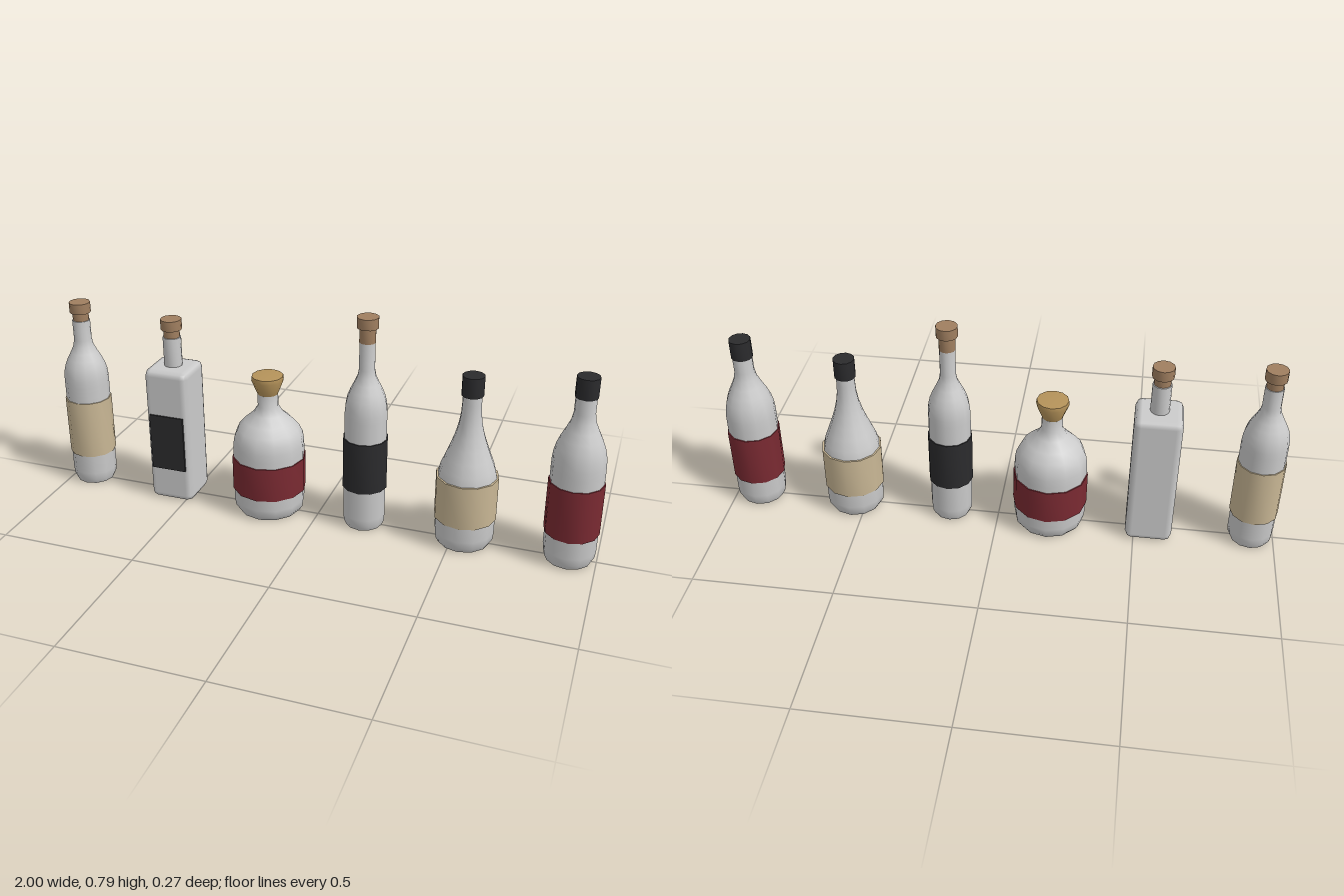
import * as THREE from 'three';
import { toCreasedNormals } from 'three/addons/utils/BufferGeometryUtils.js';
import { RoundedBoxGeometry } from 'three/addons/geometries/RoundedBoxGeometry.js';

const SIDES = 12;
const material = (color) => new THREE.MeshStandardMaterial({ color });
const glass = material(0xcccccc);
const corkBrown = material(0xa07f60);
const gold = material(0xb5935a);
const black = material(0x2b2b2d);
const red = material(0x7a2a32);
const cream = material(0xc9b795);
const liquid = material(0x4a2a10);

function addMesh(group, name, geometry, mat) {
  const mesh = new THREE.Mesh(geometry, mat);
  mesh.name = name;
  group.add(mesh);
  return mesh;
}

// Turned part from [radius, height] pairs, listed from bottom to top
function turned(group, name, profile, mat) {
  const points = profile.map(([r, y]) => new THREE.Vector2(r, y));
  const geometry = toCreasedNormals(new THREE.LatheGeometry(points, SIDES), 0.8);
  addMesh(group, name, geometry, mat);
}

// Straight closed cylinder between two heights
function drum(group, name, r, y0, y1, mat) {
  turned(group, name, [[0, y0], [r, y0], [r, y1], [0, y1]], mat);
}

// Closures, placed by the height of their top
function cork(group, top) {
  drum(group, 'corkStem', 0.029, top - 0.09, top - 0.036, corkBrown);
  drum(group, 'corkGrip', 0.038, top - 0.038, top, corkBrown);
}

function cap(group, top) {
  drum(group, 'cap', 0.038, top - 0.071, top, black);
}

function flaredStopper(group, top) {
  turned(group, 'flaredStopper', [
    [0, top - 0.08], [0.036, top - 0.075], [0.058, top - 0.02], [0.056, top - 0.005], [0, top],
  ], gold);
}

// Bevelled base, straight body, eased shoulder and straight neck.
// A higher curve keeps the shoulder full for longer before it narrows.
function glassProfile({ radius, neck, shoulder, neckBase, neckTop, curve = 1.5 }) {
  const profile = [[0, 0], [radius * 0.87, 0], [radius * 0.97, 0.018], [radius, 0.045]];
  const steps = 7;
  for (let i = 0; i <= steps; i++) {
    const t = i / steps;
    const ease = (1 + Math.cos(Math.PI * t ** curve)) / 2;
    profile.push([neck + (radius - neck) * ease, shoulder + (neckBase - shoulder) * t]);
  }
  profile.push([neck, neckTop], [0, neckTop]);
  return profile;
}

function roundBottle(spec) {
  const group = new THREE.Group();
  group.name = spec.name;
  group.position.x = spec.x;
  turned(group, 'glassBody', glassProfile(spec), glass);
  const [y0, y1] = spec.label;
  drum(group, 'wrappedLabel', spec.radius + 0.004, y0, y1, spec.color);
  spec.closure(group, spec.top);
  // Dark liquid seen through the underside
  if (spec.filled) {
    const floor = addMesh(group, 'liquidBase', new THREE.CircleGeometry(spec.radius * 0.84, SIDES), liquid);
    floor.rotation.x = Math.PI / 2;
    floor.position.y = -0.001;
  }
  return group;
}

// Square bottle with a flat label on the front face
function squareBottle() {
  const group = new THREE.Group();
  group.name = 'squareBottle';
  group.position.x = -0.552;
  addMesh(group, 'glassBody', new RoundedBoxGeometry(0.166, 0.517, 0.166, 1, 0.024), glass)
    .position.y = 0.2585;
  drum(group, 'neck', 0.033, 0.5, 0.625, glass);
  addMesh(group, 'flatLabel', new THREE.BoxGeometry(0.13, 0.214, 0.01), black)
    .position.set(0, 0.238, 0.084);
  cork(group, 0.692);
  return group;
}

const bottles = [
  {
    name: 'creamLabelBottle', x: -0.917, radius: 0.081, neck: 0.032, shoulder: 0.4, neckBase: 0.57,
    neckTop: 0.645, label: [0.12, 0.34], color: cream, closure: cork, top: 0.713, filled: true,
  },
  {
    name: 'roundDecanter', x: -0.188, radius: 0.13, neck: 0.037, shoulder: 0.21, neckBase: 0.41,
    neckTop: 0.457, curve: 2.2, label: [0.088, 0.216], color: red, closure: flaredStopper, top: 0.53,
  },
  {
    name: 'slimBottle', x: 0.175, radius: 0.076, neck: 0.028, shoulder: 0.42, neckBase: 0.6,
    neckTop: 0.72, label: [0.155, 0.345], color: black, closure: cork, top: 0.788, filled: true,
  },
  {
    name: 'slopingBottle', x: 0.54, radius: 0.105, neck: 0.033, shoulder: 0.25, neckBase: 0.53,
    neckTop: 0.58, curve: 0.73, label: [0.1, 0.26], color: cream, closure: cap, top: 0.628, filled: true,
  },
  {
    name: 'redLabelBottle', x: 0.905, radius: 0.09, neck: 0.035, shoulder: 0.34, neckBase: 0.55,
    neckTop: 0.63, label: [0.11, 0.301], color: red, closure: cap, top: 0.676,
  },
];

export function createModel() {
  const model = new THREE.Group();
  model.name = 'bottleRow';
  for (const spec of bottles) model.add(roundBottle(spec));
  model.add(squareBottle());
  return model;
}
